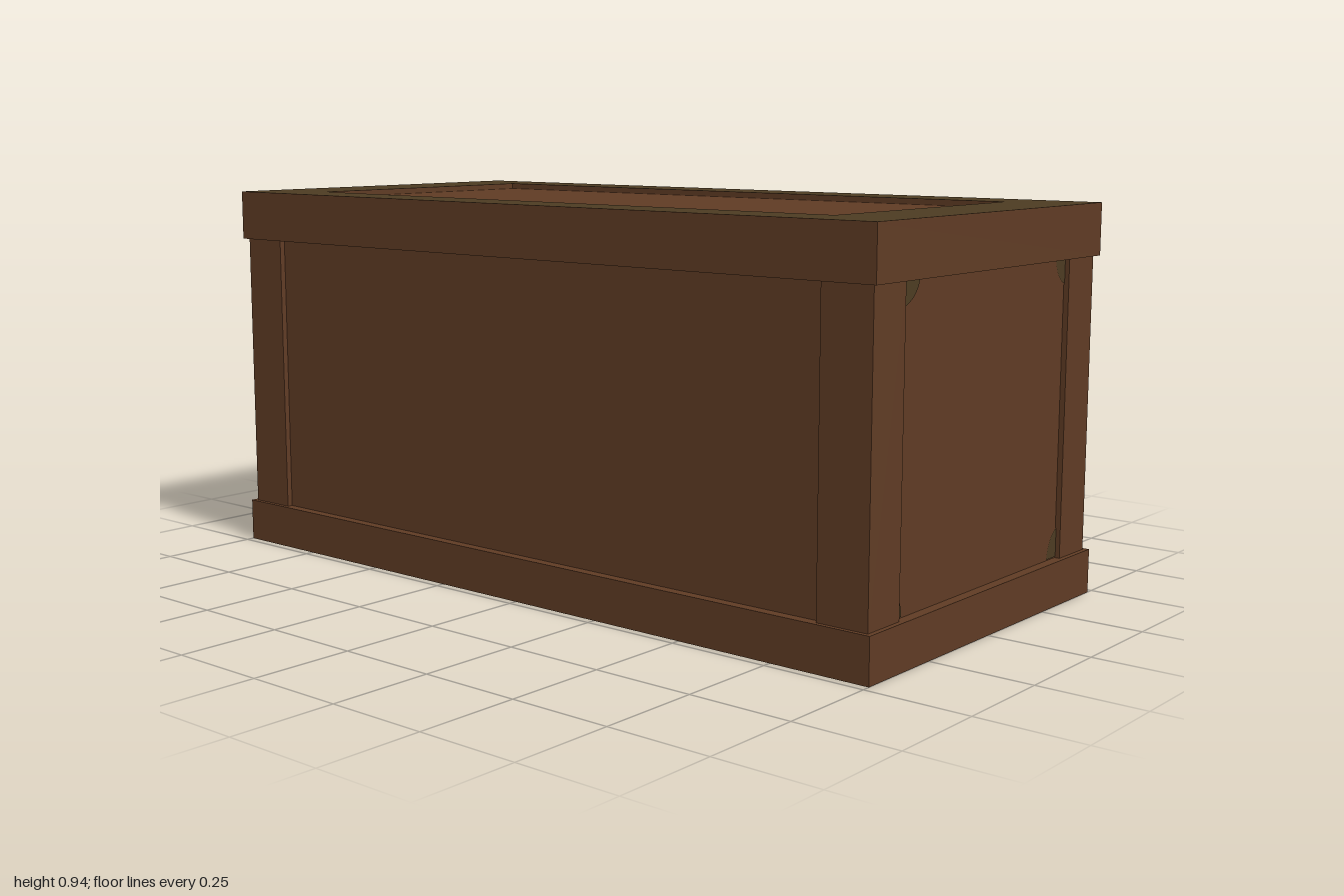
import * as THREE from 'three';

const wood = new THREE.MeshStandardMaterial({ name: 'brownWood', color: 0x5f3b24 });
const moss = new THREE.MeshStandardMaterial({ name: 'mossyWood', color: 0x4c3b22 });

const H = 0.944, W = 1, D = 0.48; // height, half width, half depth
const SKIN = 0.004;               // thickness of the painted rim faces

function rectangle(Path, x, z) {
  const p = new Path();
  p.moveTo(-x, -z);
  p.lineTo(x, -z);
  p.lineTo(x, z);
  p.lineTo(-x, z);
  p.closePath();
  return p;
}

// Horizontal rectangular frame with an open middle
function frame(name, y0, y1, materials) {
  const shape = rectangle(THREE.Shape, W, D);
  shape.holes.push(rectangle(THREE.Path, 0.812, 0.353));
  const geo = new THREE.ExtrudeGeometry(shape, { depth: y1 - y0, bevelEnabled: false });
  geo.rotateX(-Math.PI / 2);
  const mesh = new THREE.Mesh(geo, materials);
  mesh.position.y = y0;
  mesh.name = name;
  return mesh;
}

function box(name, w, h, d, x, y, z) {
  const mesh = new THREE.Mesh(new THREE.BoxGeometry(w, h, d), wood);
  mesh.position.set(x, y, z);
  mesh.name = name;
  return mesh;
}

export function createModel() {
  const chest = new THREE.Group();
  chest.name = 'chest';

  // Recessed panels on all six sides
  chest.add(box('panelCore', 1.95, H - 0.03, 0.91, 0, H / 2, 0));

  // Base and lid frames, with mossy outer faces
  chest.add(frame('baseFrame', SKIN, 0.107, wood));
  chest.add(frame('baseUnderside', 0, SKIN, [moss, wood]));
  chest.add(frame('lidFrame', 0.819, H - SKIN, wood));
  chest.add(frame('lidTopFace', H - SKIN, H, [moss, wood]));

  // Corner posts
  for (const sx of [-1, 1]) {
    for (const sz of [-1, 1]) {
      chest.add(box('cornerPost', 0.128, 0.73, 0.118, sx * 0.924, 0.463, sz * 0.41));
    }
  }

  // Moss patches in the corners of the left end panel: z, y, width, height
  const patches = [
    [0.351, 0.815, -0.07, -0.055],
    [-0.351, 0.815, 0.045, -0.055],
    [0.351, 0.11, -0.025, 0.055],
    [-0.351, 0.11, 0.045, 0.07],
  ];
  for (const [z, y, w, h] of patches) {
    const shape = new THREE.Shape();
    shape.moveTo(0, 0);
    shape.lineTo(-w, 0);
    shape.quadraticCurveTo(-w * 0.8, h * 0.8, 0, h);
    shape.closePath();
    const geo = new THREE.ShapeGeometry(shape, 6);
    geo.rotateY(Math.PI / 2);
    const patch = new THREE.Mesh(geo, moss);
    patch.position.set(0.977, y, z);
    patch.name = 'mossPatch';
    chest.add(patch);
  }
  return chest;
}
